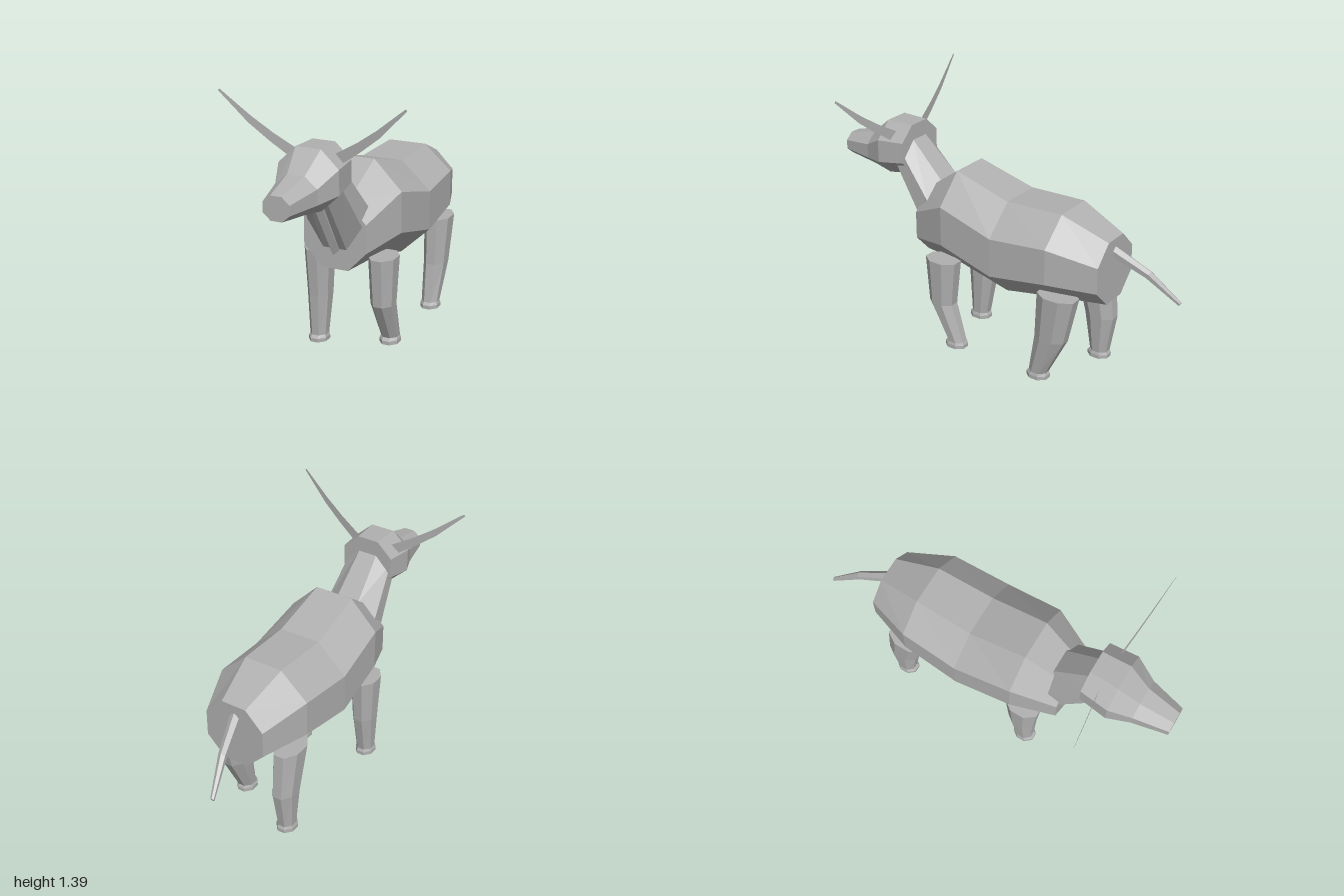
import * as THREE from 'three';

const material = new THREE.MeshStandardMaterial({ color: 0xb0b0b0, flatShading: true, side: THREE.DoubleSide });
material.name = 'plain grey';

const V = (x, y, z) => new THREE.Vector3(x, y, z);

// Ring of points with flat sides facing u and v, circumscribing the half-extents
function ring(center, u, v, sides = 8) {
  const k = 1 / Math.cos(Math.PI / sides);
  return Array.from({ length: sides }, (_, i) => {
    const a = ((i + 0.5) / sides) * Math.PI * 2;
    return center.clone().addScaledVector(u, k * Math.cos(a)).addScaledVector(v, k * Math.sin(a));
  });
}

// Closed, faceted skin through rings; u x v must point along the path
function loft(name, rings) {
  const pos = [];
  const tri = (...pts) => pts.forEach((p) => pos.push(p.x, p.y, p.z));
  const n = rings[0].length;
  for (let r = 0; r < rings.length - 1; r++) {
    for (let i = 0; i < n; i++) {
      const j = (i + 1) % n, a = rings[r], b = rings[r + 1];
      tri(a[i], a[j], b[j]);
      tri(a[i], b[j], b[i]);
    }
  }
  const first = rings[0], last = rings[rings.length - 1];
  for (let i = 1; i < n - 1; i++) {
    tri(first[0], first[i + 1], first[i]);
    tri(last[0], last[i], last[i + 1]);
  }
  const geo = new THREE.BufferGeometry();
  geo.setAttribute('position', new THREE.Float32BufferAttribute(pos, 3));
  geo.computeVertexNormals();
  return named(name, geo);
}

function named(name, geo) {
  const mesh = new THREE.Mesh(geo, material);
  mesh.name = name;
  return mesh;
}

// Upright octagonal sections along z: [z, half width, top, bottom]
const alongZ = (name, rows) => loft(name, rows.map(([z, w, top, bottom]) =>
  ring(V(0, (top + bottom) / 2, z), V(w, 0, 0), V(0, (top - bottom) / 2, 0))));

// Leg with a knee, an ankle and a flared hoof: z centres and z half-depths
function leg(name, x, [zTop, zKnee, zFoot], [dTop, dKnee], base) {
  const rows = [
    [0.515, zTop, 0.07, dTop],
    [0.26, zKnee, 0.059, dKnee],
    [base + 0.035, zFoot - 0.003, 0.045, 0.05],
    [base + 0.02, zFoot, 0.05, 0.06],
    [base, zFoot, 0.05, 0.06],
  ];
  return loft(name, rows.map(([y, z, w, d]) => ring(V(x, y, z), V(w, 0, 0), V(0, 0, d))));
}

// Flat, curved, tapering horn leaning forward towards the tip
function horn(name, side) {
  const outline = [[0.06, 1.095], [0.1, 1.127], [0.22, 1.197], [0.33, 1.272], [0.484, 1.393],
    [0.492, 1.385], [0.345, 1.238], [0.24, 1.156], [0.145, 1.09], [0.09, 1.05]];
  const geo = new THREE.ShapeGeometry(new THREE.Shape(outline.map(([x, y]) => new THREE.Vector2(x * side, y))));
  const p = geo.attributes.position;
  for (let i = 0; i < p.count; i++) p.setZ(i, 0.615 + (Math.abs(p.getX(i)) - 0.1) * 0.16);
  geo.computeVertexNormals();
  return named(name, geo);
}

export function createModel() {
  const model = new THREE.Group();
  model.name = 'horned animal';

  model.add(alongZ('body', [
    [-0.68, 0.168, 0.82, 0.48],
    [-0.43, 0.257, 0.92, 0.46],
    [-0.11, 0.273, 0.91, 0.405],
    [0.21, 0.257, 1.0, 0.48],
    [0.44, 0.172, 0.835, 0.477],
  ]));

  model.add(alongZ('head', [
    [0.54, 0.145, 1.165, 0.895],
    [0.695, 0.16, 1.165, 0.865],
    [0.815, 0.11, 1.065, 0.88],
    [1.0, 0.07, 1.017, 0.898],
  ]));

  // Neck rising forward into the head
  model.add(loft('neck', [
    ring(V(0, 0.738, 0.392), V(0.155, 0, 0), V(0, 0.152, -0.048)),
    ring(V(0, 1.0, 0.59), V(0.125, 0, 0), V(0, 0.085, -0.045)),
  ]));

  // Thin fold of skin under the neck
  const fold = [[0.46, 0.557], [0.638, 0.84], [0.64, 0.875], [0.6, 0.93], [0.42, 0.64]];
  const slice = (x, inset) => fold.map(([z, y], i) => V(x, y + (i < 3 ? inset : 0), z - (i < 3 ? inset : 0)));
  model.add(loft('dewlap', [slice(0.024, 0.02), slice(0, 0), slice(-0.024, 0.02)]));

  // Tail drooping back and to one side
  const tail = [[-0.1, 0.507, -1.0, 0.01], [-0.05, 0.645, -0.845, 0.02], [0, 0.75, -0.66, 0.027]];
  model.add(loft('tail', tail.map(([x, y, z, r]) => ring(V(x, y, z), V(r, 0, 0), V(0, r * 0.9, -r * 0.5), 6))));

  for (const side of [1, -1]) model.add(horn(side > 0 ? 'leftHorn' : 'rightHorn', side));

  model.add(
    leg('frontLeftLeg', 0.182, [0.255, 0.26, 0.175], [0.095, 0.073], 0.015),
    leg('frontRightLeg', -0.182, [0.255, 0.255, 0.275], [0.095, 0.075], 0),
    leg('hindLeftLeg', 0.182, [-0.465, -0.43, -0.355], [0.108, 0.086], 0.012),
    leg('hindRightLeg', -0.182, [-0.465, -0.51, -0.505], [0.108, 0.084], 0.012),
  );
  return model;
}
